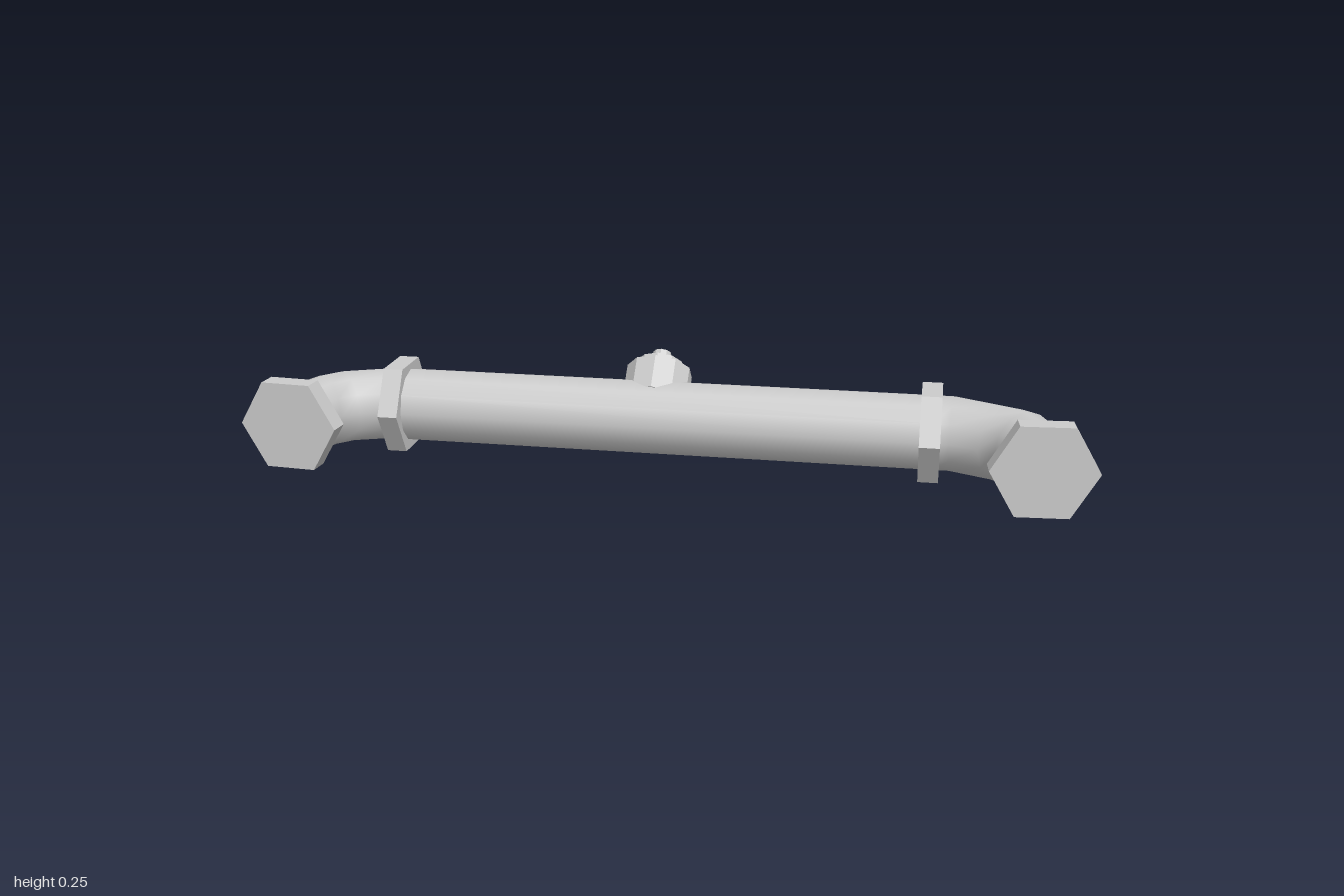
import * as THREE from 'three';

const AXIS_Y = 0.105, AXIS_Z = -0.053, PIPE_R = 0.09;
const smooth = new THREE.MeshStandardMaterial({ color: 0xcccccc });
const faceted = new THREE.MeshStandardMaterial({ color: 0xcccccc, flatShading: true });

function add(parent, name, geometry, material) {
  const mesh = new THREE.Mesh(geometry, material);
  mesh.name = name;
  parent.add(mesh);
  return mesh;
}

// Elbow lofted from rings given as [outer x, outer z, inner x, inner z]
function elbowGeometry(rings, side) {
  const sides = 12, positions = [], indices = [];
  rings.forEach(([ox, oz, ix, iz], i) => {
    for (let j = 0; j < sides; j++) {
      const a = (j / sides) * Math.PI * 2, k = (1 + Math.cos(a)) / 2;
      positions.push(
        side * (ix + (ox - ix) * k),
        AXIS_Y + side * PIPE_R * Math.sin(a),
        iz + (oz - iz) * k
      );
      if (i === rings.length - 1) continue;
      const p = i * sides + j, q = i * sides + (j + 1) % sides;
      indices.push(p, q, p + sides, q, q + sides, p + sides);
    }
  });
  const geometry = new THREE.BufferGeometry();
  geometry.setAttribute('position', new THREE.Float32BufferAttribute(positions, 3));
  geometry.setIndex(indices);
  geometry.computeVertexNormals();
  return geometry;
}

export function createModel() {
  const model = new THREE.Group();
  model.name = 'pipeAssembly';

  // Straight pipe
  const pipe = new THREE.CylinderGeometry(PIPE_R, PIPE_R, 1.32, 12, 1, true).rotateZ(Math.PI / 2);
  add(model, 'mainPipe', pipe, smooth).position.set(-0.02, AXIS_Y, AXIS_Z);

  // Each end: collar nut, bent elbow and closing hex nut
  const ends = [
    {
      name: 'left', side: 1, collarX: 0.627, capZ: 0.169,
      rings: [[0.63, -0.143, 0.63, 0.037], [0.684, -0.141, 0.67, 0.036],
        [0.866, -0.043, 0.735, 0.06], [0.904, -0.01, 0.77, 0.09], [0.962, 0.16, 0.795, 0.17]],
    },
    {
      name: 'right', side: -1, collarX: 0.671, capZ: 0.151,
      rings: [[0.66, -0.143, 0.66, 0.037], [0.70, -0.139, 0.69, 0.036],
        [0.86, -0.06, 0.745, 0.05], [0.893, -0.018, 0.78, 0.085], [0.952, 0.145, 0.80, 0.155]],
    },
  ];
  for (const { name, side, collarX, capZ, rings } of ends) {
    add(model, name + 'Elbow', elbowGeometry(rings, side), smooth);

    const collar = new THREE.CylinderGeometry(0.121, 0.121, 0.048, 6).rotateZ(Math.PI / 2);
    add(model, name + 'CollarNut', collar, faceted).position.set(side * collarX, AXIS_Y, AXIS_Z);

    const cap = new THREE.CylinderGeometry(0.121, 0.121, 0.05, 6, 1, false, Math.PI / 6).rotateX(Math.PI / 2);
    const capNut = add(model, name + 'EndNut', cap, faceted);
    capNut.position.set(side * 0.877, AXIS_Y, capZ);
    capNut.rotation.y = side * 0.075;
  }

  // Stepped valve leaning back at 45 degrees: [name, radius, from, to]
  const valve = new THREE.Group();
  valve.name = 'valve';
  valve.position.set(-0.037, AXIS_Y, AXIS_Z);
  valve.rotation.x = -Math.PI / 4;
  for (const [name, r, from, to] of [
    ['valveBody', 0.081, 0.04, 0.127],
    ['valveCollar', 0.058, 0.12, 0.147],
    ['valveStem', 0.023, 0.14, 0.178],
  ]) {
    add(valve, name, new THREE.CylinderGeometry(r, r, to - from, 10), faceted).position.y = (from + to) / 2;
  }
  model.add(valve);

  return model;
}
